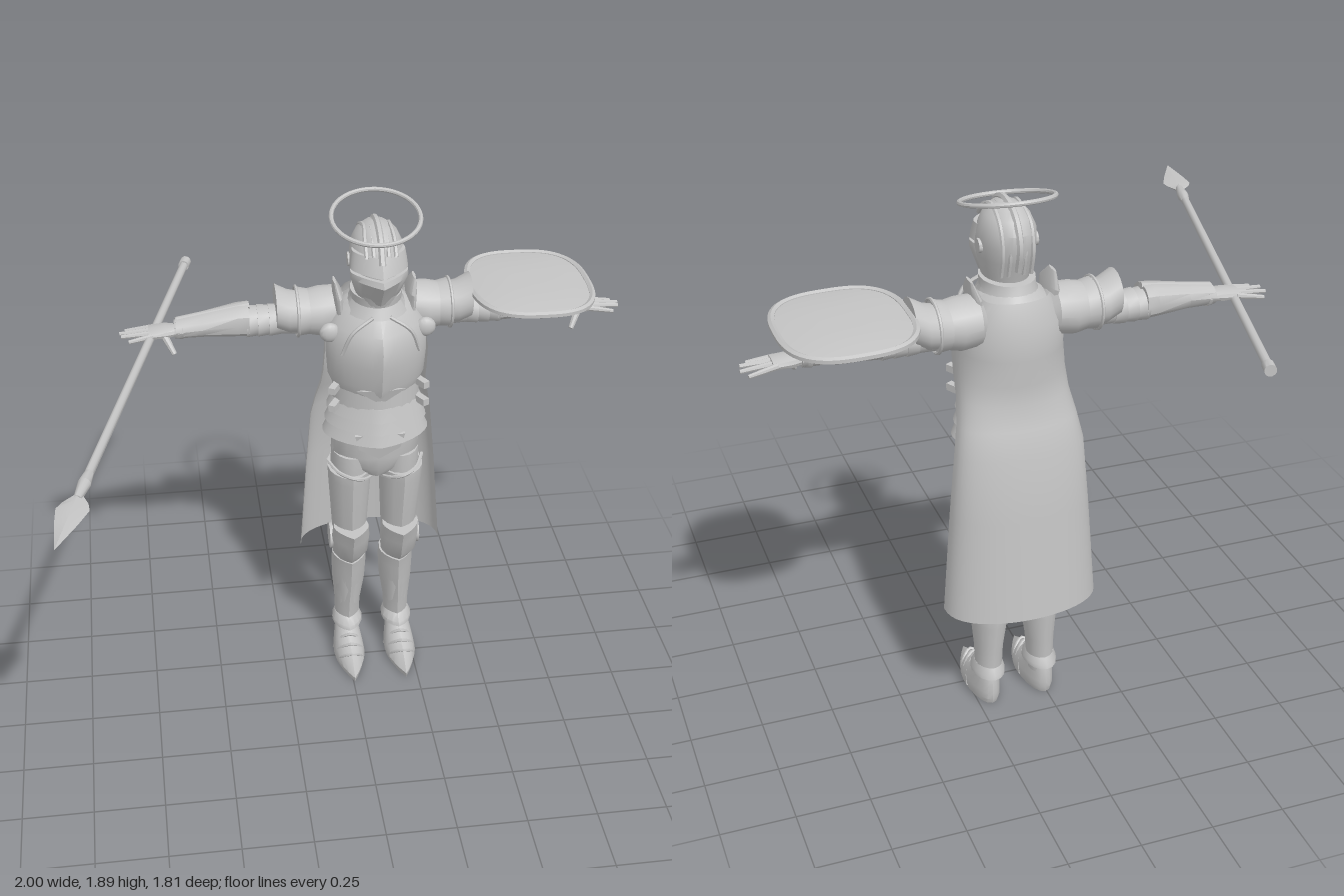
import * as THREE from 'three';
import { toCreasedNormals } from 'three/addons/utils/BufferGeometryUtils.js';

const steel = new THREE.MeshStandardMaterial({ color: 0xc4c4c4, side: THREE.DoubleSide });
steel.name = 'steel';
const V = (x, y, z) => new THREE.Vector3(x, y, z);

// Skin over rings listed upward: [y, halfWidth, zFront, zBack, keel, centreX, squareness]
function loft(rings, n = 24, capped = true) {
  const pos = [], idx = [];
  for (const [y, w, zf, zb, k = 0, cx = 0, p = 2] of rings) {
    const mid = (zf + zb) / 2, half = (zf - zb) / 2;
    for (let i = 0; i < n; i++) {
      const t = (i / n) * Math.PI * 2, s = Math.sin(t), c = Math.cos(t);
      const sx = Math.sign(s) * Math.abs(s) ** (2 / p);
      let sz = Math.sign(c) * Math.abs(c) ** (2 / p);
      if (c > 0) sz = sz * (1 - k) + (1 - Math.abs(sx)) * k;
      pos.push(cx + w * sx, y, mid + half * sz);
    }
  }
  const m = rings.length;
  for (let r = 0; r < m - 1; r++) for (let i = 0; i < n; i++) {
    const a = r * n + i, b = r * n + (i + 1) % n;
    idx.push(a, b, b + n, a, b + n, a + n);
  }
  if (capped) for (const [r, up] of [[0, false], [m - 1, true]]) {
    const [y, , zf, zb, , cx = 0] = rings[r], c = pos.length / 3;
    pos.push(cx, y, (zf + zb) / 2);
    for (let i = 0; i < n; i++) {
      const a = r * n + i, b = r * n + (i + 1) % n;
      up ? idx.push(c, a, b) : idx.push(c, b, a);
    }
  }
  const g = new THREE.BufferGeometry();
  g.setAttribute('position', new THREE.Float32BufferAttribute(pos, 3));
  g.setIndex(idx);
  return g;
}

// Same skin along +x: [x, halfHeight, zFront, zBack, keel, centreY, squareness]
const loftX = (rings, n, capped) =>
  loft(rings.map(([x, h, f, b, k = 0, cy = 0, p = 2]) => [x, h, f, b, k, -cy, p]), n, capped).rotateZ(-Math.PI / 2);

const tube = (pts, r, closed = false, seg = 24) =>
  new THREE.TubeGeometry(new THREE.CatmullRomCurve3(pts, closed), seg, r, 6, closed);

// Tapered rod between two points
function rod(a, b, r0, r1, sides = 10) {
  const d = b.clone().sub(a);
  const g = new THREE.CylinderGeometry(r1, r0, d.length(), sides);
  g.applyQuaternion(new THREE.Quaternion().setFromUnitVectors(V(0, 1, 0), d.clone().normalize()));
  return g.translate(...a.clone().add(b).multiplyScalar(0.5).toArray());
}

function mirrored(g) {
  const h = (g.index ? g.toNonIndexed() : g.clone()).scale(-1, 1, 1);
  for (const at of Object.values(h.attributes)) {
    const s = at.itemSize;
    for (let i = 0; i < at.count; i += 3) for (let j = 0; j < s; j++) {
      const u = (i + 1) * s + j, v = (i + 2) * s + j, q = at.array[u];
      at.array[u] = at.array[v];
      at.array[v] = q;
    }
  }
  return h;
}

export function createModel() {
  const model = new THREE.Group();
  model.name = 'armouredKnight';
  const body = new THREE.Group();
  body.name = 'body';
  body.position.x = 0.105;
  model.add(body);
  const add = (name, g, parent = body) => {
    const mesh = new THREE.Mesh(toCreasedNormals(g, 0.6), steel);
    mesh.name = name;
    parent.add(mesh);
  };
  const pair = (name, g) => { add(name + 'Left', g); add(name + 'Right', mirrored(g)); };

  // Torso armour
  add('breastplate', loft([
    [1.23, .155, -.125, -.42, .3], [1.27, .172, -.108, -.43, .35], [1.35, .178, -.095, -.435, .4],
    [1.42, .178, -.085, -.44, .45], [1.47, .165, -.11, -.44, .4], [1.53, .125, -.165, -.43, .2], [1.56, .08, -.2, -.4]], 32));
  add('chestPoint', new THREE.ConeGeometry(.09, .06, 4).rotateX(Math.PI).scale(1, 1, .2).translate(0, 1.23, -.135));
  add('abdomen', loft([[1.05, .165, -.13, -.42, .2], [1.13, .158, -.13, -.41, .2], [1.26, .155, -.13, -.42, .2]]));
  for (const [y, w] of [[1.06, .178], [1.11, .17], [1.16, .163]])
    add('waistPlate', loft([[y - .03, w + .014, -.115, -.435, .25], [y + .02, w - .008, -.128, -.42, .25]], 28));
  add('pelvis', loft([[.86, .05, -.2, -.36], [.9, .13, -.18, -.385], [.95, .162, -.17, -.395], [1.06, .155, -.16, -.41]]));
  const tasset = new THREE.Shape([[-.09, .04], [.09, .04], [.075, -.025], [0, -.075], [-.075, -.025]].map(p => new THREE.Vector2(...p)));
  add('frontTasset', new THREE.ExtrudeGeometry(tasset, { depth: .012, bevelEnabled: false }).rotateX(.2).translate(0, 1.03, -.165));
  for (const y of [1.17, 1.24])
    pair('sideBuckle', new THREE.BoxGeometry(.025, .025, .06).rotateY(.5).translate(.155, y, -.205));
  pair('chestRidge', tube([V(.03, 1.54, -.14), V(.1, 1.49, -.13), V(.135, 1.4, -.15)], .007));
  pair('shoulderDisc', new THREE.SphereGeometry(.036, 16, 10).scale(1, 1, .6).translate(.168, 1.45, -.225));
  add('gorget', loft([[1.52, .115, -.15, -.42], [1.56, .09, -.17, -.4], [1.59, .09, -.165, -.39]]));

  // Helmet with visor and ridged comb
  add('helmet', loft([
    [1.56, .07, -.17, -.35], [1.6, .078, -.155, -.36], [1.66, .092, -.125, -.385, .2], [1.71, .095, -.115, -.4, .3],
    [1.76, .09, -.145, -.4, .2], [1.8, .072, -.175, -.375], [1.825, .045, -.205, -.34], [1.837, .01, -.25, -.29]], 28));
  add('visor', loft([[1.575, .055, -.155, -.3, .5], [1.6, .078, -.14, -.31, .55],
    [1.67, .1, -.085, -.32, .65], [1.69, .099, -.095, -.31, .65]], 28));
  add('brow', loft([[1.7, .099, -.1, -.31, .6], [1.73, .096, -.12, -.31, .5], [1.76, .091, -.14, -.31, .35]], 28));
  add('comb', tube([V(0, 1.74, -.125), V(0, 1.81, -.175), V(0, 1.84, -.26), V(0, 1.81, -.36), V(0, 1.73, -.405), V(0, 1.64, -.385)], .012));
  for (const x of [.025, .05])
    pair('helmetRidge', tube([V(x, 1.76, -.15), V(x, 1.805, -.2), V(x * .9, 1.825, -.26), V(x, 1.79, -.355), V(x, 1.71, -.385), V(x, 1.62, -.365)], .008));
  pair('visorPivot', new THREE.CylinderGeometry(.024, .024, .012, 16).rotateZ(Math.PI / 2).translate(.094, 1.7, -.28));

  // Halo
  add('halo', new THREE.TorusGeometry(.152, .008, 8, 48).rotateX(Math.PI / 2 + .245).translate(0, 1.847, -.285));

  // Arms
  pair('arm', loftX([
    [.08, .065, -.27, -.42, 0, 1.46], [.25, .058, -.285, -.405, 0, 1.455], [.36, .05, -.295, -.405, 0, 1.45],
    [.46, .05, -.295, -.405, 0, 1.45], [.6, .036, -.305, -.385, 0, 1.445], [.69, .024, -.31, -.375, 0, 1.437]], 16));
  for (const x of [.35, .39, .43])
    pair('elbowBand', loftX([[x - .02, .052, -.292, -.408, 0, 1.45], [x + .02, .056, -.287, -.413, 0, 1.45]], 16));
  pair('bracer', loftX([
    [.44, .058, -.285, -.415, 0, 1.46, 2.3], [.48, .056, -.287, -.412, 0, 1.46, 2.3],
    [.6, .043, -.295, -.395, 0, 1.452], [.695, .035, -.3, -.39, 0, 1.444]], 12));
  pair('bracerRidge', rod(V(.435, 1.512, -.35), V(.69, 1.478, -.345), .014, .007, 6));
  pair('wristCuff', loftX([[.67, .038, -.297, -.393, 0, 1.443], [.7, .03, -.303, -.385, 0, 1.44]], 12));

  // Hands
  pair('palm', loftX([[.68, .018, -.315, -.37, 0, 1.437], [.73, .02, -.3, -.385, 0, 1.437, 2.6], [.79, .015, -.298, -.385, 0, 1.435, 2.6]], 12));
  [.86, .885, .89, .87].forEach((x, i) => {
    const z = -.307 - i * .023, k = (i - 1.5) * -.008, y = 1.432 - Math.abs(i - 1.2) * .006;
    pair('finger', rod(V(.775, 1.436, z), V(x, y, z + k), .011, .007, 8));
  });
  pair('thumb', rod(V(.735, 1.43, -.315), V(.705, 1.375, -.28), .014, .009, 8));

  // Pauldrons
  pair('shoulderCap', loftX([
    [.1, .06, -.28, -.41, 0, 1.47], [.13, .085, -.26, -.435, 0, 1.48], [.19, .088, -.255, -.44, 0, 1.475], [.25, .075, -.265, -.43, 0, 1.475]], 20));
  pair('pauldronMiddle', loftX([[.215, .076, -.263, -.432, 0, 1.475], [.27, .086, -.255, -.44, 0, 1.478]], 20));
  pair('pauldronOuter', loftX([[.25, .07, -.27, -.425, 0, 1.475], [.3, .075, -.265, -.43, 0, 1.482], [.345, .078, -.262, -.428, 0, 1.505]], 20));
  pair('pauldronRim', tube(Array.from({ length: 16 }, (_, i) => {
    const t = i / 16 * Math.PI * 2;
    return V(.27, 1.478 + .086 * Math.cos(t), -.3475 + .0925 * Math.sin(t));
  }), .006, true, 32));
  pair('neckGuard', loft([[1.48, .02, -.24, -.4, 0, .125], [1.56, .017, -.24, -.4, 0, .13], [1.605, .005, -.29, -.35, 0, .14]], 12));

  // Legs
  pair('leg', loft([
    [.08, .042, -.29, -.4, 0, .098], [.16, .042, -.3, -.405, 0, .096], [.3, .055, -.26, -.42, 0, .092], [.45, .057, -.25, -.415, 0, .09],
    [.6, .06, -.225, -.39, 0, .09], [.85, .074, -.185, -.385, 0, .09], [.95, .072, -.18, -.39, 0, .088]], 16));
  pair('thighPlate', loft([
    [.55, .062, -.215, -.385, .3, .092, 2.4], [.62, .066, -.205, -.388, .3, .093, 2.4],
    [.84, .079, -.162, -.388, .3, .095, 2.4], [.875, .08, -.16, -.385, .3, .095, 2.4]], 16));
  pair('thighTrim', tube([V(.015, .84, -.24), V(.05, .86, -.185), V(.09, .878, -.163), V(.14, .885, -.2), V(.175, .895, -.28)], .007));
  pair('kneePlate', loft([
    [.455, .045, -.23, -.33, .5, .092], [.49, .066, -.2, -.34, .5, .092], [.56, .072, -.175, -.35, .5, .092], [.62, .066, -.15, -.33, .5, .092]], 16));
  pair('kneeWing', new THREE.CylinderGeometry(.05, .05, .014, 12).rotateZ(Math.PI / 2).translate(.162, .545, -.3));
  pair('greave', loft([
    [.14, .047, -.285, -.41, .35, .096], [.22, .05, -.275, -.415, .35, .095], [.33, .063, -.25, -.43, .35, .091],
    [.4, .066, -.24, -.435, .35, .09], [.45, .064, -.228, -.42, .35, .09]], 16));
  pair('ankleCuff', loft([[.115, .058, -.25, -.43, .2, .097], [.13, .058, -.255, -.425, .2, .097], [.155, .047, -.285, -.41, .2, .097]], 16));

  // Armoured shoes with overlapping bands
  pair('shoe', loft([
    [0, .055, -.08, -.405, .6, .1], [.02, .06, -.075, -.412, .6, .1], [.045, .056, -.12, -.412, .45, .1],
    [.075, .05, -.185, -.41, .3, .1], [.1, .044, -.25, -.405, .2, .1], [.125, .04, -.28, -.4, 0, .1]], 20));
  for (const [z, w, h] of [[-.16, .045, .07], [-.2, .052, .088], [-.24, .055, .106]])
    pair('shoeBand', tube([V(.1 - w, .012, z - .05), V(.1 - w * .8, h * .6, z - .025), V(.1, h, z), V(.1 + w * .8, h * .6, z - .025), V(.1 + w, .012, z - .05)], .006, false, 14));

  // Cape: rows of [y, halfWidth, zEdge, zBack]
  const rows = [[1.55, .11, -.35, -.43], [1.47, .17, -.32, -.462], [1.36, .183, -.25, -.462], [1.27, .186, -.28, -.455], [1.2, .19, -.32, -.455],
    [1.12, .205, -.365, -.478], [1.03, .222, -.39, -.505], [.8, .242, -.39, -.525], [.435, .268, -.39, -.555]];
  const pos = [], idx = [], n = 24;
  rows.forEach(([y, w, ze, zb], r) => {
    for (let i = 0; i <= n; i++) {
      const t = (i / n - .5) * Math.PI;
      pos.push(w * Math.sin(t), y, ze + (zb - ze) * Math.max(0, Math.cos(t)) ** .8);
      const a = r * (n + 1) + i, b = a + n + 1;
      if (r < rows.length - 1 && i < n) idx.push(a, a + 1, b + 1, a, b + 1, b);
    }
  });
  const cape = new THREE.BufferGeometry();
  cape.setAttribute('position', new THREE.Float32BufferAttribute(pos, 3));
  cape.setIndex(idx);
  add('cape', cape);

  // Shield lying over the left forearm
  const shield = new THREE.Group();
  shield.name = 'shield';
  shield.position.set(.663, 1.532, -.345);
  shield.rotation.z = -.02;
  model.add(shield);
  add('shieldPanel', loft([[-.008, .2, .235, -.235, 0, 0, 2.8], [.002, .21, .248, -.248, 0, 0, 2.8],
    [.012, .15, .18, -.18, 0, 0, 2.6], [.016, .07, .08, -.08]], 40), shield);
  add('shieldRim', tube(Array.from({ length: 40 }, (_, i) => {
    const t = i / 40 * Math.PI * 2, f = v => Math.sign(v) * Math.abs(v) ** (2 / 2.8);
    return V(.21 * f(Math.cos(t)), 0, .247 * f(Math.sin(t)));
  }), .012, true, 80), shield);

  // Spear through the right hand
  const spear = new THREE.Group();
  spear.name = 'spear';
  model.add(spear);
  const tail = V(-.525, 1.43, -.9), tip = V(-1, 1.413, .9), at = f => tail.clone().lerp(tip, f);
  add('spearShaft', rod(at(0), at(.82), .015, .015, 12), spear);
  add('spearButt', rod(at(0), at(.022), .02, .02, 12), spear);
  add('spearSocket', rod(at(.785), at(.815), .015, .021, 12), spear);
  add('spearNeck', rod(at(.815), at(.86), .021, .013, 12), spear);
  const blade = loft([[0, .013, .012, -.012], [.04, .04, .011, -.011], [.075, .052, .009, -.009], [.15, .036, .007, -.007], [.28, .001, .001, -.001]], 4);
  const dir = tip.clone().sub(tail).normalize(), flat = V(0, 1, 0);
  const across = dir.clone().cross(flat).normalize();
  blade.applyMatrix4(new THREE.Matrix4().makeBasis(across, dir, across.clone().cross(dir)).setPosition(at(.85)));
  add('spearBlade', blade, spear);
  return model;
}
